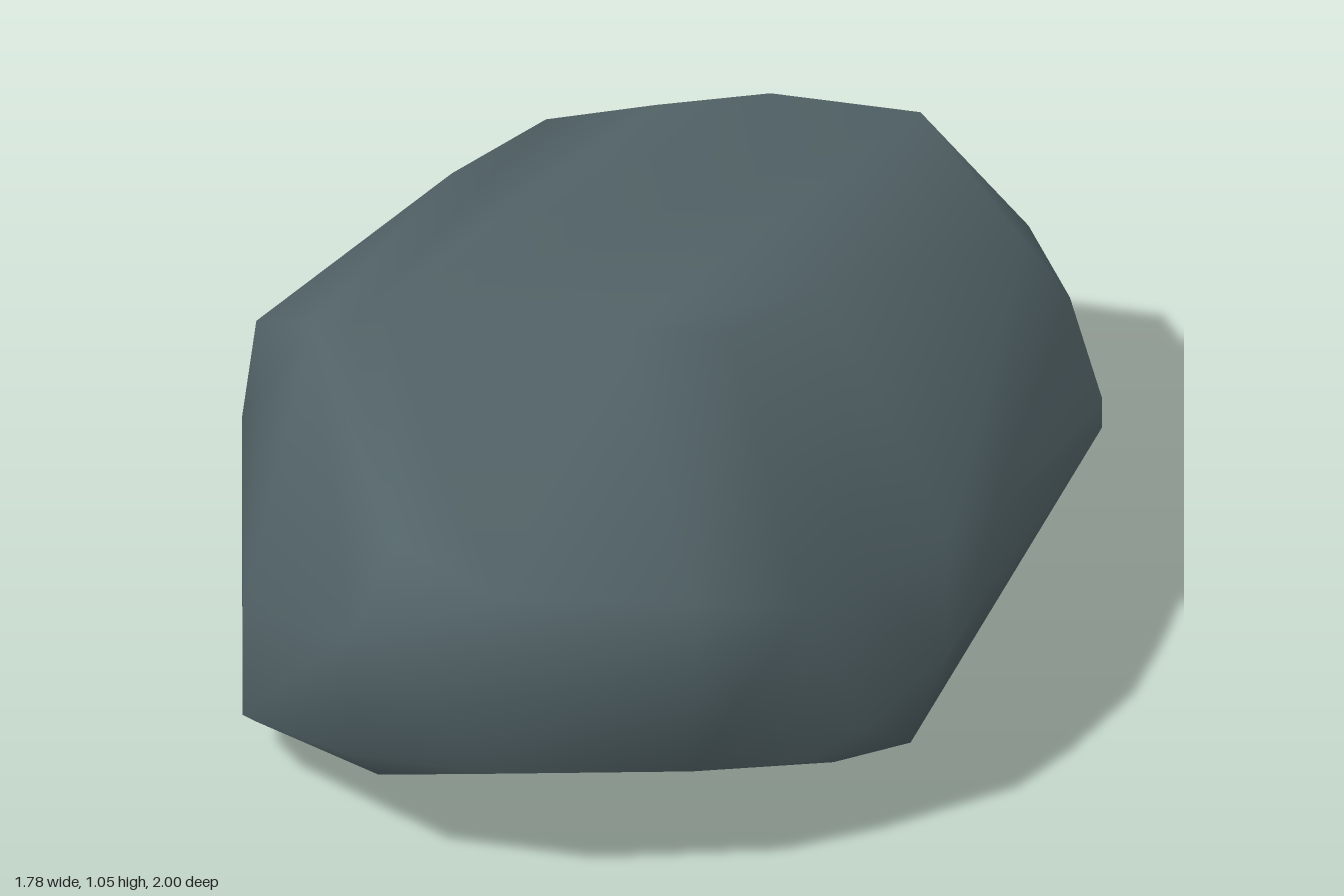
import * as THREE from 'three';
import { ConvexGeometry } from 'three/addons/geometries/ConvexGeometry.js';
import { mergeVertices } from 'three/addons/utils/BufferGeometryUtils.js';

// Widest outline of the boulder: x, z, then the bottom and top of its steep side there
const girth = [
  [0, -1, 0.33, 0.5], [0.37, -0.96, 0.3, 0.55], [0.65, -0.83, 0.3, 0.52], [0.76, -0.63, 0.25, 0.54],
  [0.89, -0.26, 0.29, 0.36], [0.64, 0.34, 0.31, 0.48], [0.54, 0.52, 0.25, 0.54], [0.36, 0.75, 0.22, 0.6],
  [0.23, 0.89, 0.23, 0.62], [0, 0.98, 0.27, 0.7], [-0.4, 1, 0.29, 0.74], [-0.69, 0.91, 0.29, 0.6],
  [-0.89, 0.57, 0.18, 0.45], [-0.84, -0.46, 0.18, 0.24], [-0.2, -0.95, 0.3, 0.62],
];

// Corners of the sloping top and its shoulders: x, y, z
const crown = [
  [-0.84, 0.8, 0.3], [-0.74, 0.99, 0.36], [-0.66, 1.04, 0.42], [-0.6, 1.05, 0.44], [-0.11, 1.01, 0.44],
  [0.1, 0.97, 0.4], [0.3, 0.91, 0.15], [0.48, 0.82, -0.05], [0.74, 0.68, -0.35], [0.83, 0.54, -0.36],
  [0.55, 0.71, -0.8], [0.25, 0.72, -0.87], [0.02, 0.68, -0.9], [-0.4, 0.62, -0.76], [-0.82, 0.59, -0.28],
  [-0.6, 0.8, 0.88],
];

// Corners of the underside, which rises towards the front
const base = [
  [-0.6, 0, -0.3], [-0.47, 0, -0.48], [0.1, 0.02, -0.82], [0.42, 0.03, -0.84], [0.72, 0.08, -0.45],
  [0.83, 0.18, -0.3], [0.46, 0.09, 0.58], [0.3, 0.1, 0.66], [-0.62, 0.1, 0.66], [-0.86, 0.07, 0.4],
  [-0.8, 0.03, -0.17],
];

export function createModel() {
  const stone = new THREE.MeshStandardMaterial({ color: 0x536468 });
  stone.name = 'slateGrey';

  const points = [...crown, ...base].map((p) => new THREE.Vector3(...p));
  for (const [x, z, low, high] of girth) {
    // Steep side, leaning slightly outward at the front
    points.push(new THREE.Vector3(x, high, z), new THREE.Vector3(x, low, z - 0.04 * Math.max(z, 0)));
  }

  // Convex shell with welded corners, so shading flows over the edges
  const shell = new ConvexGeometry(points);
  shell.deleteAttribute('normal');
  const geometry = mergeVertices(shell, 1e-4);
  geometry.computeVertexNormals();

  const boulder = new THREE.Mesh(geometry, stone);
  boulder.name = 'boulder';
  const model = new THREE.Group();
  model.name = 'rock';
  model.add(boulder);
  return model;
}
